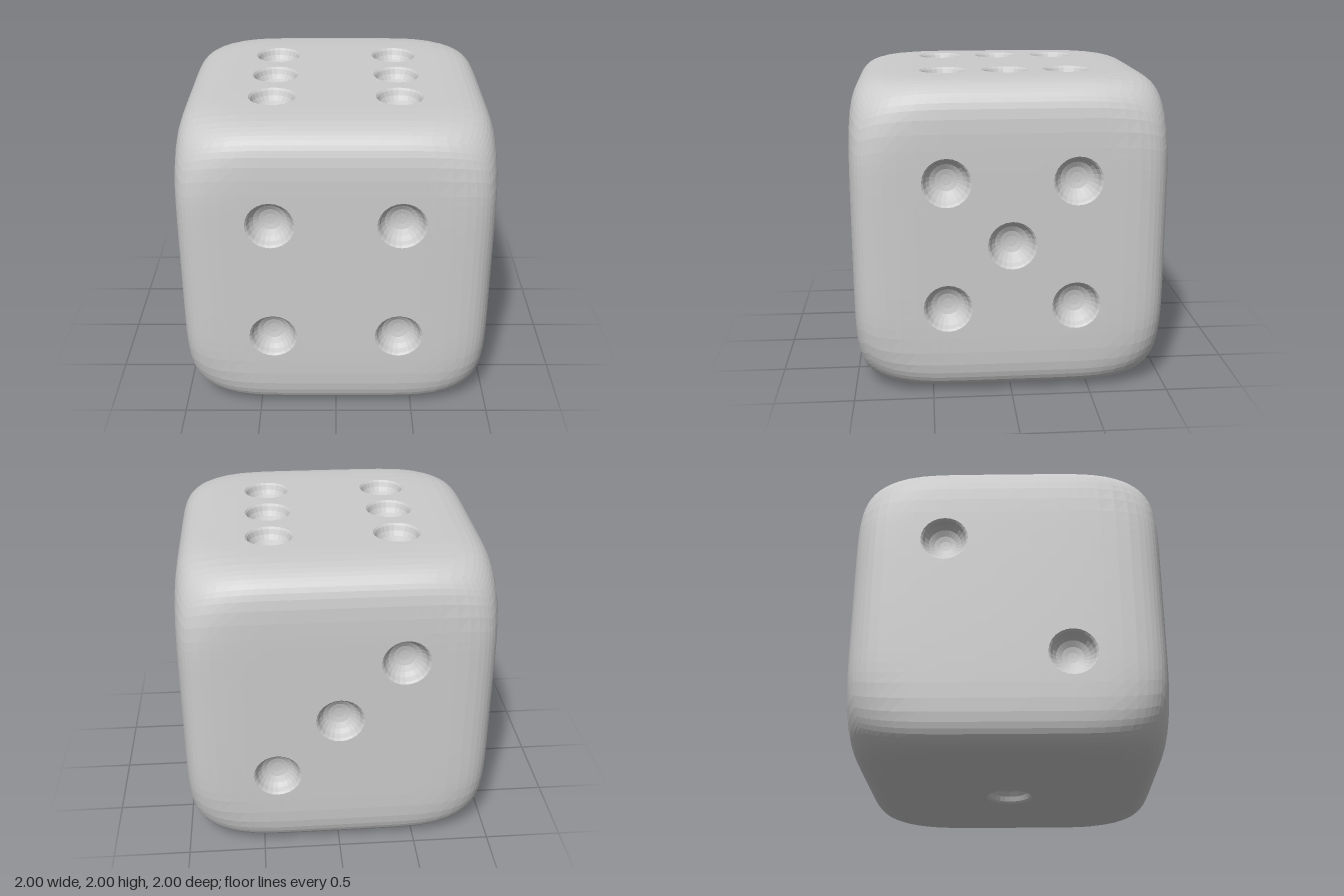
import * as THREE from 'three';

const V = (x, y, z) => new THREE.Vector3(x, y, z);
const CELL = 0.4;       // each face's middle is a 3 x 3 board of cells
const DIV = 6;          // grid steps per cell side

// Faces: u and v axes, and the board cells that hold a pip
const FACES = {
  front:  { u: V(1, 0, 0),  v: V(0, 1, 0),  pips: [[-1, -1], [1, -1], [-1, 1], [1, 1]] },
  back:   { u: V(-1, 0, 0), v: V(0, 1, 0),  pips: [[-1, -1], [0, 0], [1, 1]] },
  right:  { u: V(0, 0, -1), v: V(0, 1, 0),  pips: [[-1, -1], [1, -1], [0, 0], [-1, 1], [1, 1]] },
  left:   { u: V(0, 0, 1),  v: V(0, 1, 0),  pips: [[-1, 1], [1, -1]] },
  top:    { u: V(1, 0, 0),  v: V(0, 0, -1), pips: [[-1, -1], [-1, 0], [-1, 1], [1, -1], [1, 0], [1, 1]] },
  bottom: { u: V(1, 0, 0),  v: V(0, 0, 1),  pips: [[0, 0]] },
};

// Grid lines across a face, closer together towards the rounded edges
const EDGE = [0.7, 0.79, 0.86, 0.91, 0.955, 1];
const LINES = [...EDGE.map((e) => -e).reverse()];
for (let i = 0; i <= 3 * DIV; i++) LINES.push(-0.6 + (i * CELL) / DIV);
LINES.push(...EDGE);

// Bowl profile of a pip: [radius, depth]
const BOWL = [[0.152, 0], [0.14, 0.012], [0.127, 0.042], [0.105, 0.07], [0.07, 0.09], [0.035, 0.098], [0, 0.1]];

// Pull a point of the cube onto the soft cube: rounded edges, rounder corners
function soften(p) {
  const a = p.x ** 10 + p.y ** 10 + p.z ** 10;
  const b = 5 * (p.x * p.y * p.z) ** 6;
  let lo = 0.5, hi = 1.01;
  for (let i = 0; i < 40; i++) {
    const t = (lo + hi) / 2;
    if (a * t ** 10 + b * t ** 18 < 1) lo = t; else hi = t;
  }
  return p.multiplyScalar(lo);
}

// Collects triangles and turns them into a mesh
function makeSurface() {
  const data = [];
  const tri = (...pts) => pts.forEach((p) => data.push(p.x, p.y, p.z));
  return {
    quad(a, b, c, d) {
      tri(a, b, c);
      if (c.distanceTo(d) > 1e-6) tri(a, c, d);
    },
    mesh(name, material) {
      const geometry = new THREE.BufferGeometry();
      geometry.setAttribute('position', new THREE.Float32BufferAttribute(data, 3));
      geometry.computeVertexNormals();
      const mesh = new THREE.Mesh(geometry, material);
      mesh.name = name;
      return mesh;
    },
  };
}

// Rings from the square cell border, over the rim, to the bowl's centre
function pipRings(cu, cv, at) {
  const count = 4 * DIV;
  const ring = (fn) => Array.from({ length: count }, (_, k) => fn(k));
  const border = ring((k) => {
    const side = (Math.floor(k / DIV) * Math.PI) / 2;
    const x = CELL / 2, y = -CELL / 2 + ((k % DIV) * CELL) / DIV;
    const c = Math.cos(side), s = Math.sin(side);
    return at(cu + x * c - y * s, cv + x * s + y * c, 0);
  });
  const bowl = BOWL.map(([r, depth]) => ring((k) => {
    const angle = (k / count) * Math.PI * 2 - Math.PI / 4;
    return at(cu + r * Math.cos(angle), cv + r * Math.sin(angle), depth);
  }));
  return [border, ...bowl];
}

function buildFace(name, { u, v, pips }, material) {
  const n = u.clone().cross(v);
  const at = (s, t, depth) => soften(
    n.clone().addScaledVector(u, s).addScaledVector(v, t)
  ).addScaledVector(n, -depth);
  const face = makeSurface(), bowls = makeSurface();

  // Plain grid, left open where a pip cell sits
  const inPip = (s, t) => pips.some(([i, j]) =>
    Math.abs(s - i * CELL) < CELL / 2 && Math.abs(t - j * CELL) < CELL / 2);
  for (let i = 0; i + 1 < LINES.length; i++) {
    for (let j = 0; j + 1 < LINES.length; j++) {
      const s0 = LINES[i], s1 = LINES[i + 1], t0 = LINES[j], t1 = LINES[j + 1];
      if (inPip((s0 + s1) / 2, (t0 + t1) / 2)) continue;
      face.quad(at(s0, t0, 0), at(s1, t0, 0), at(s1, t1, 0), at(s0, t1, 0));
    }
  }

  // Pips: the first ring band belongs to the face, the rest to the bowl
  for (const [i, j] of pips) {
    const rings = pipRings(i * CELL, j * CELL, at);
    for (let r = 0; r + 1 < rings.length; r++) {
      const outer = rings[r], inner = rings[r + 1];
      outer.forEach((p, k) => {
        const next = (k + 1) % outer.length;
        (r === 0 ? face : bowls).quad(p, outer[next], inner[next], inner[k]);
      });
    }
  }

  const group = new THREE.Group();
  group.name = name + 'Side';
  group.add(face.mesh(name + 'Face', material), bowls.mesh(name + 'Pips', material));
  return group;
}

export function createModel() {
  const material = new THREE.MeshStandardMaterial({ color: 0xcccccc, flatShading: true });
  const die = new THREE.Group();
  die.name = 'die';
  for (const [name, spec] of Object.entries(FACES)) die.add(buildFace(name, spec, material));
  die.position.y = 1;
  const model = new THREE.Group();
  model.name = 'model';
  model.add(die);
  return model;
}
